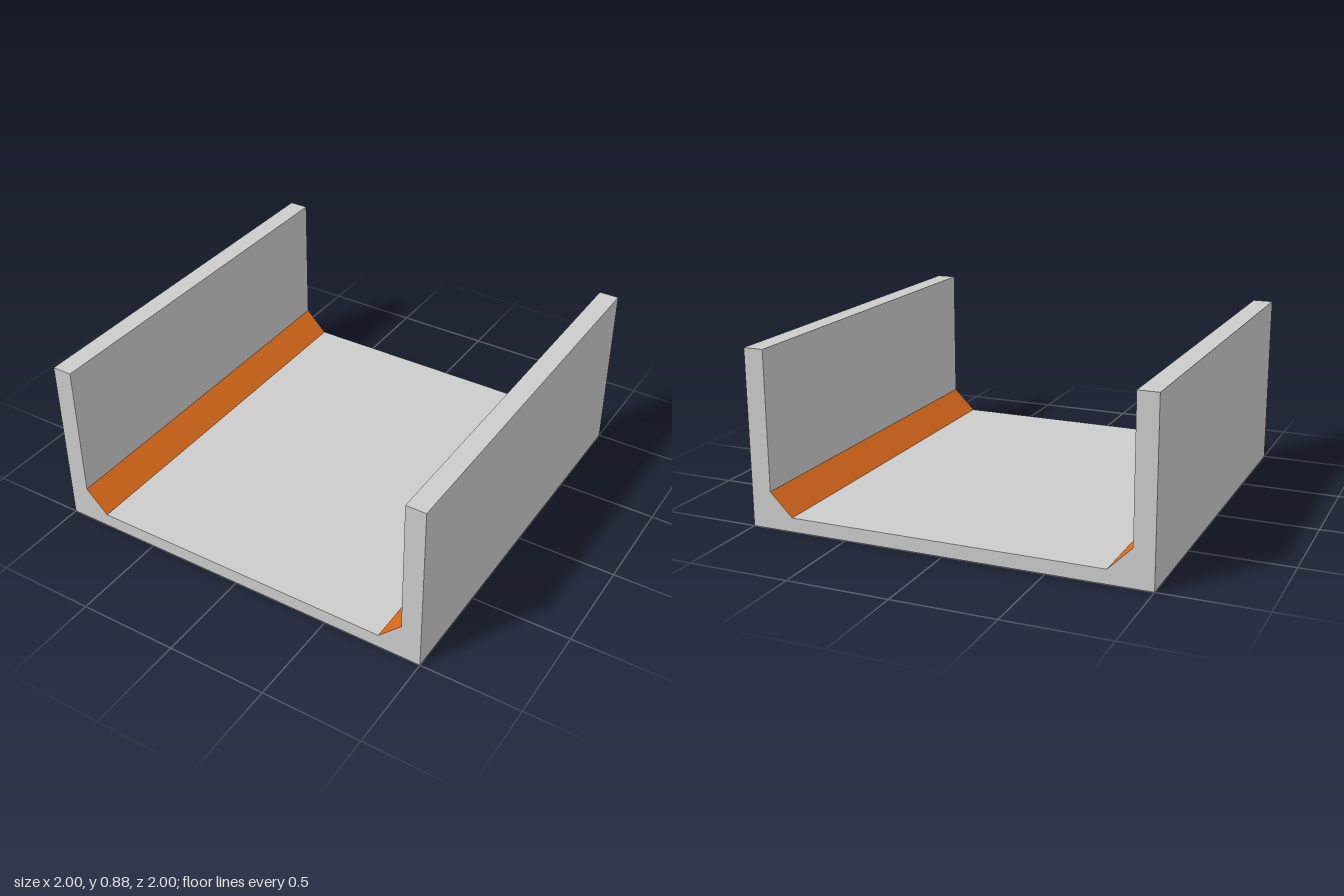
import * as THREE from 'three';
import { mergeGeometries } from 'three/addons/utils/BufferGeometryUtils.js';

const DEPTH = 2;

// Flat strip running the full depth along one profile edge, facing outward
function strip(a, b) {
  return new THREE.PlaneGeometry(a.distanceTo(b), DEPTH)
    .rotateX(Math.PI / 2)
    .rotateZ(Math.atan2(b.y - a.y, b.x - a.x))
    .translate((a.x + b.x) / 2, (a.y + b.y) / 2, 0);
}

export function createModel() {
  const group = new THREE.Group();
  group.name = 'channel';
  const grey = new THREE.MeshStandardMaterial({ color: 0xcccccc });
  const orange = new THREE.MeshStandardMaterial({ color: 0xe06c1a });

  // U-shaped section: right half from bottom to floor, then mirrored
  const half = [[1, 0], [1, 0.875], [0.9, 0.875], [0.9, 0.185], [0.785, 0.07]]
    .map(([x, y]) => new THREE.Vector2(x, y));
  const mirrored = half.map((p) => new THREE.Vector2(-p.x, p.y)).reverse();
  const profile = [...half, ...mirrored];

  // Front and back end faces
  const endFace = new THREE.ShapeGeometry(new THREE.Shape(profile));
  const body = [
    endFace.clone().translate(0, 0, DEPTH / 2),
    endFace.clone().rotateY(Math.PI).translate(0, 0, -DEPTH / 2),
  ];

  // Long faces: sloping inner corners are coloured, the rest join the body
  profile.forEach((a, i) => {
    const b = profile[(i + 1) % profile.length];
    const face = strip(a, b);
    if (a.x !== b.x && a.y !== b.y) {
      const chamfer = new THREE.Mesh(face, orange);
      chamfer.name = a.x > 0 ? 'leftChamfer' : 'rightChamfer';
      group.add(chamfer);
    } else {
      body.push(face);
    }
  });

  const channel = new THREE.Mesh(mergeGeometries(body), grey);
  channel.name = 'floorAndWalls';
  group.add(channel);
  return group;
}
